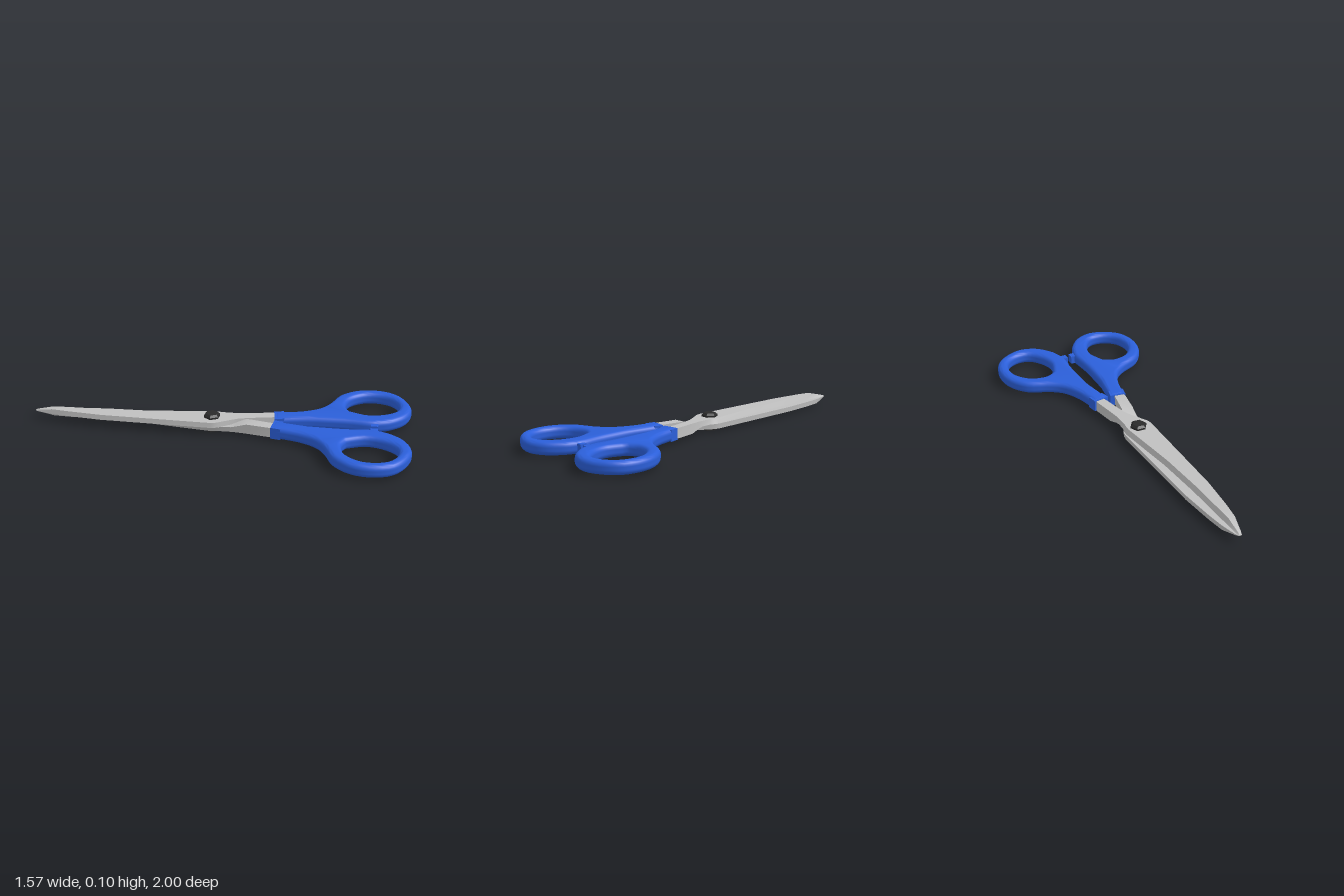
import * as THREE from 'three';
import { toCreasedNormals } from 'three/addons/utils/BufferGeometryUtils.js';

const blue = new THREE.MeshStandardMaterial({ color: 0x2b5fd9 });
blue.name = 'blue plastic';
const steel = new THREE.MeshStandardMaterial({ color: 0xc0c0c0 });
steel.name = 'steel';
const black = new THREE.MeshStandardMaterial({ color: 0x2a2a2a });
black.name = 'black screw';

const vec = ([x, y]) => new THREE.Vector2(x, y);

function part(name, geometry, material) {
  const mesh = new THREE.Mesh(geometry, material);
  mesh.name = name;
  return mesh;
}

// Blade and shank lofted along u: [u, back, ridge, edge, bottom, top]; v is the sideways axis
function bladeGeometry() {
  const sections = [
    [-1.06, -0.010, 0.004, 0.010, 0, 0.003],
    [-1.04, -0.018, 0.003, 0.011, 0, 0.009],
    [-0.95, -0.040, 0.001, 0.012, 0, 0.030],
    [-0.85, -0.054, 0.003, 0.015, 0, 0.031],
    [-0.65, -0.073, 0.006, 0.019, 0, 0.031],
    [-0.37, -0.079, 0.022, 0.035, 0, 0.031],
    [0.00, -0.086, 0.066, 0.079, 0, 0.031],
    [0.03, -0.081, 0.064, 0.077, 0, 0.031],
    [0.06, -0.064, 0.060, 0.068, 0, 0.031],
    [0.12, -0.030, 0.060, 0.065, -0.002, 0.031],
    [0.15, -0.014, 0.062, 0.066, -0.010, 0.031],
    [0.21, 0.004, 0.070, 0.073, -0.030, 0.031],
    [0.34, 0.030, 0.092, 0.094, -0.030, 0.031],
    [0.40, 0.042, 0.092, 0.094, -0.030, 0.031],
  ];
  const pos = [], idx = [], n = 4;
  for (const [u, back, ridge, edge, y0, y1] of sections) {
    const ring = [[back, y0], [back + 0.003, y1], [ridge, y1], [edge, y0]];
    for (const [v, y] of ring) pos.push(u, y, -v);
  }
  for (let i = 0; i < sections.length - 1; i++) {
    for (let j = 0; j < n; j++) {
      const a = i * n + j, b = i * n + (j + 1) % n;
      idx.push(a, b + n, b, a, a + n, b + n);
    }
  }
  const e = (sections.length - 1) * n;
  for (let j = 1; j < n - 1; j++) idx.push(0, j, j + 1, e, e + j + 1, e + j);
  const g = new THREE.BufferGeometry();
  g.setAttribute('position', new THREE.Float32BufferAttribute(pos, 3));
  g.setIndex(idx);
  return toCreasedNormals(g, 0.5);
}

// Extrude a (u, v) shape about the middle plane of the scissors
function plate(shape, depth, bevel) {
  const g = new THREE.ExtrudeGeometry(shape, { depth, curveSegments: 3, ...bevel });
  g.translate(0, 0, -depth / 2);
  g.rotateX(-Math.PI / 2);
  return toCreasedNormals(g, 0.75);
}

// Handle outline (clockwise) with finger hole (anticlockwise), rounded by the bevel
function handleGeometry() {
  const shape = new THREE.Shape();
  shape.moveTo(0.366, 0.008);
  shape.lineTo(0.352, 0.102);
  shape.splineThru([[0.43, 0.118], [0.52, 0.141], [0.61, 0.188], [0.668, 0.262], [0.722, 0.376],
    [0.82, 0.451], [0.935, 0.471], [1.045, 0.441], [1.117, 0.363], [1.153, 0.252], [1.119, 0.145],
    [1.04, 0.074], [0.97, 0.045], [0.91, 0.034], [0.775, 0.045], [0.56, 0.041]].map(vec));
  const hole = new THREE.Path();
  const loop = [[0.792, 0.177], [0.897, 0.14], [0.998, 0.162], [1.07, 0.222], [1.075, 0.303],
    [1.028, 0.375], [0.949, 0.403], [0.863, 0.391], [0.787, 0.329], [0.764, 0.24]].map(vec);
  hole.moveTo(loop[0].x, loop[0].y);
  hole.splineThru([...loop.slice(1), loop[0].clone()]);
  shape.holes.push(hole);
  return plate(shape, 0.018, {
    bevelThickness: 0.029, bevelSize: 0.026, bevelOffset: -0.026, bevelSegments: 5,
  });
}

// Square-edged mouth of the handle that takes the shank
function socketGeometry() {
  const shape = new THREE.Shape([[0.366, 0.008], [0.42, 0.02], [0.41, 0.113], [0.352, 0.102]].map(vec));
  return plate(shape, 0.069, { bevelEnabled: false });
}

function half(name) {
  const g = new THREE.Group();
  g.name = name;
  g.add(part('blade', bladeGeometry(), steel));
  g.add(part('handle', handleGeometry(), blue));
  g.add(part('handleSocket', socketGeometry(), blue));
  // Small stop between the handles
  const stop = part('handleStop', new THREE.BoxGeometry(0.042, 0.05, 0.06), blue);
  stop.position.set(0.94, 0, -0.041);
  g.add(stop);
  return g;
}

export function createModel() {
  const model = new THREE.Group();
  model.name = 'scissors';

  // Two identical halves, one turned over about the long axis
  const pair = new THREE.Group();
  pair.name = 'halves';
  const upper = half('upperHalf'), lower = half('lowerHalf');
  lower.rotation.x = Math.PI;
  pair.add(upper, lower);
  pair.rotation.y = -0.963;
  pair.position.set(-0.17, 0.05, -0.125);
  model.add(pair);

  // Hexagonal pivot screw with chamfered head
  const screw = new THREE.Group();
  screw.name = 'pivotScrew';
  const flatHex = (r1, r2, h) => toCreasedNormals(new THREE.CylinderGeometry(r1, r2, h, 6), 0.2);
  const body = part('screwBody', flatHex(0.049, 0.049, 0.092), black);
  body.position.y = 0.046;
  const head = part('screwHead', flatHex(0.036, 0.049, 0.012), black);
  head.position.y = 0.098;
  screw.add(body, head);
  screw.position.set(-0.17, 0, -0.125);
  model.add(screw);
  return model;
}
